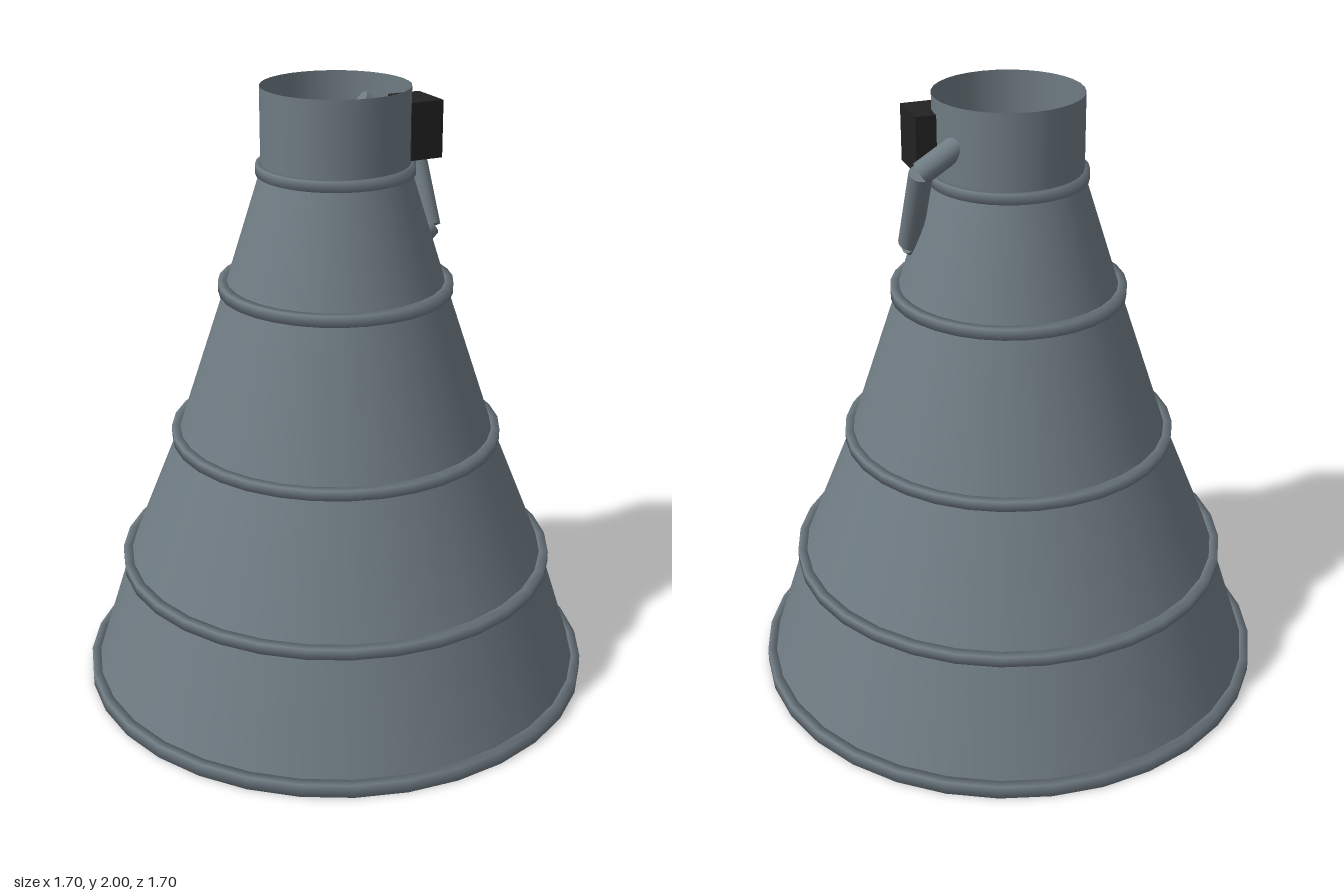
import * as THREE from 'three';

const SIDES = 32;

export function createModel() {
  const model = new THREE.Group();
  model.name = 'engineNozzle';

  const steel = new THREE.MeshStandardMaterial({ color: 0x6f7b83 });
  steel.name = 'slateSteel';
  const steelShell = new THREE.MeshStandardMaterial({ color: 0x6f7b83, side: THREE.DoubleSide });
  steelShell.name = 'slateSteelShell';
  const black = new THREE.MeshStandardMaterial({ color: 0x222222, side: THREE.DoubleSide });
  black.name = 'black';

  function add(name, geometry, material, x = 0, y = 0, z = 0) {
    const mesh = new THREE.Mesh(geometry, material);
    mesh.name = name;
    mesh.position.set(x, y, z);
    model.add(mesh);
    return mesh;
  }

  // Open bell: radius and height at each joint, bottom to top
  const joints = [[0.828, 0.02], [0.7, 0.42], [0.52, 0.865], [0.355, 1.362], [0.235, 1.742], [0.235, 2]];
  for (let i = 0; i < joints.length - 1; i++) {
    const [r0, y0] = joints[i];
    const [r1, y1] = joints[i + 1];
    add(i === 4 ? 'throatTube' : 'bellSection' + (i + 1),
      new THREE.CylinderGeometry(r1, r0, y1 - y0, SIDES, 1, true), steelShell, 0, (y0 + y1) / 2, 0);
  }

  // Reinforcing hoops around every joint
  const hoops = [[0.85, 0.022, 0.044], [0.722, 0.422, 0.036], [0.542, 0.865, 0.034],
    [0.377, 1.362, 0.036], [0.251, 1.742, 0.034]];
  hoops.forEach(([r, y, h], i) => {
    const inner = joints[i][0] - 0.008;
    const section = [[inner, -h / 2], [r, -h / 2], [r, h / 2], [inner, h / 2], [inner, -h / 2]]
      .map(([px, py]) => new THREE.Vector2(px, py));
    add('hoop' + (i + 1), new THREE.LatheGeometry(section, SIDES), steel, 0, y, 0);
  });

  // Dark plate floating inside the throat
  add('throatPlate', new THREE.CircleGeometry(0.216, SIDES), black, 0, 1.85, 0).rotation.x = -Math.PI / 2;

  // Control box on the left of the throat
  add('controlBox', new THREE.BoxGeometry(0.11, 0.18, 0.155), black, 0.244, 1.862, 0.066);

  // Bent feed pipe made of straight lengths
  const bends = [[0.135, 1.918, -0.1], [0.303, 1.795, -0.065], [0.305, 1.53, 0.062], [0.27, 1.505, 0.07]]
    .map((p) => new THREE.Vector3(...p));
  const up = new THREE.Vector3(0, 1, 0);
  for (let i = 0; i < bends.length - 1; i++) {
    const dir = bends[i + 1].clone().sub(bends[i]);
    const mid = bends[i].clone().add(bends[i + 1]).multiplyScalar(0.5);
    const pipe = add('feedPipe' + (i + 1), new THREE.CylinderGeometry(0.037, 0.037, dir.length(), 16),
      steel, mid.x, mid.y, mid.z);
    pipe.quaternion.setFromUnitVectors(up, dir.normalize());
  }

  return model;
}
